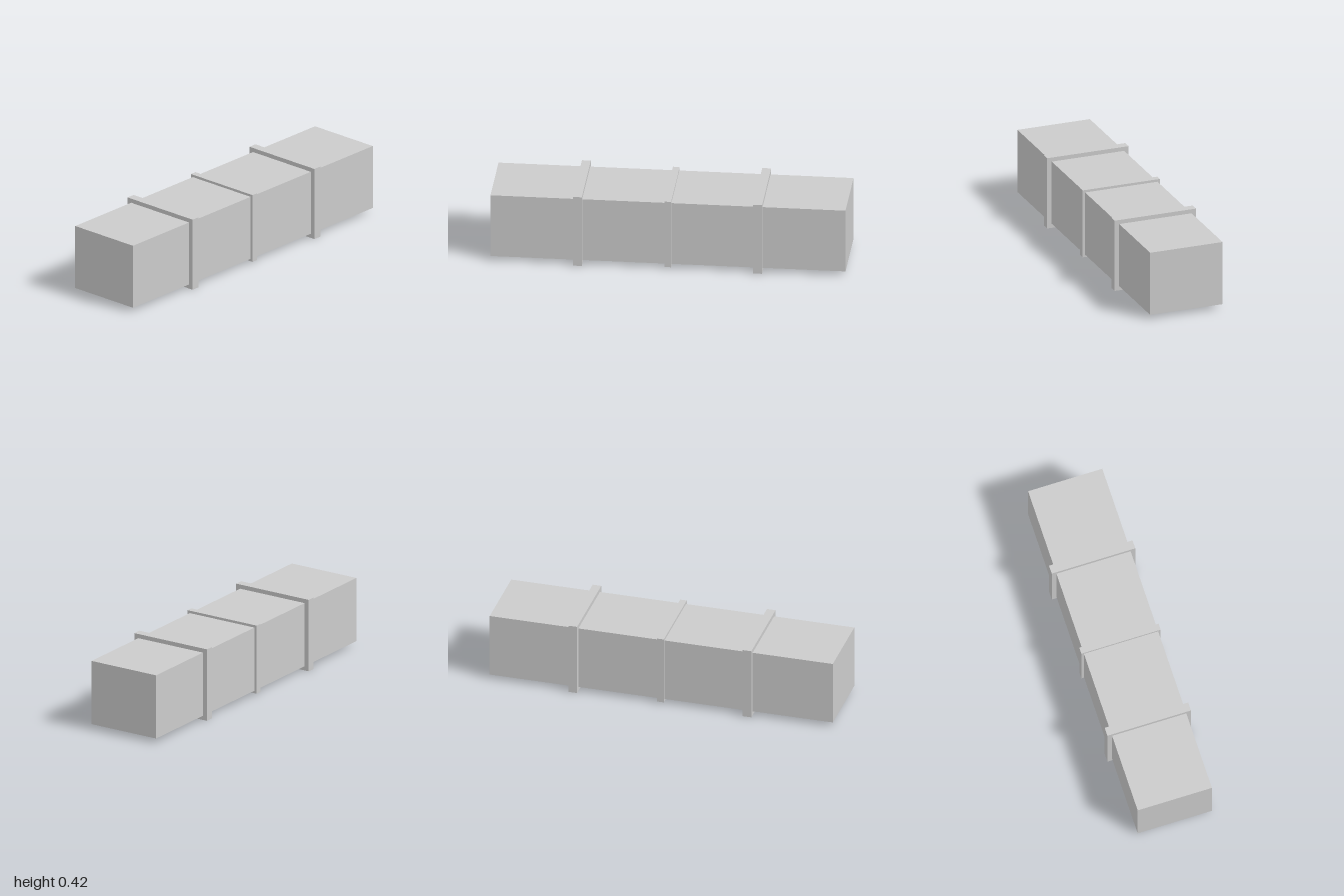
import * as THREE from 'three';

const CENTER_Y = 0.212;

export function createModel() {
  const group = new THREE.Group();
  const material = new THREE.MeshStandardMaterial({ color: 0xcccccc, flatShading: true });

  // Every part is a block centred on the duct's long axis
  const addBlock = (name, x, width, height, depth) => {
    const mesh = new THREE.Mesh(new THREE.BoxGeometry(width, height, depth), material);
    mesh.name = name;
    mesh.position.set(x, CENTER_Y, 0);
    group.add(mesh);
  };

  // Long rectangular duct
  addBlock('ductBody', 0, 2, 0.375, 0.437);

  // Slim collar at the middle, thicker flanges either side
  addBlock('middleCollar', 0, 0.038, 0.404, 0.467);
  for (const [name, side] of [['leftFlange', 1], ['rightFlange', -1]]) {
    addBlock(name, side * 0.508, 0.05, 0.424, 0.492);
  }

  return group;
}
